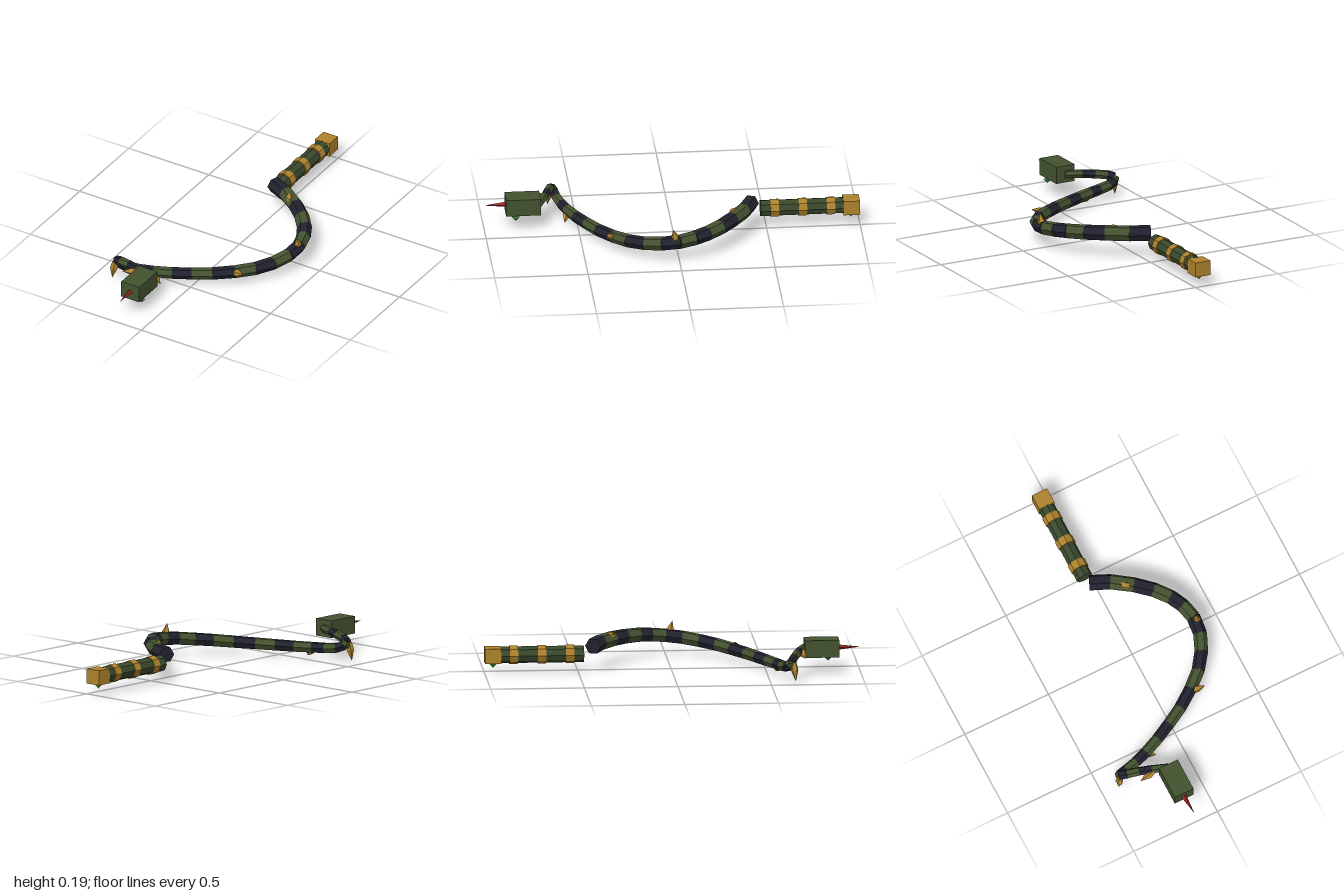
import * as THREE from 'three';

const material = (name, color) => {
  const m = new THREE.MeshStandardMaterial({ color });
  m.name = name;
  return m;
};

// Faceted normals for the low-poly look
function faceted(geometry) {
  const g = geometry.index ? geometry.toNonIndexed() : geometry;
  g.computeVertexNormals();
  return g;
}

export function createModel() {
  const group = new THREE.Group();
  const green = material('mossGreen', 0x435230);
  const navy = material('darkNavy', 0x22222f);
  const handleGreen = material('gripGreen', 0x39482c);
  const gold = material('oldGold', 0xae822c);
  const red = material('red', 0x9c2520);
  const gemGreen = material('gemGreen', 0x4a9c42);

  const add = (name, geometry, mat, x = 0, y = 0, z = 0) => {
    const mesh = new THREE.Mesh(faceted(geometry), mat);
    mesh.name = name;
    mesh.position.set(x, y, z);
    group.add(mesh);
    return mesh;
  };

  // Places a mesh so its local y axis runs from a to b, with local z kept level
  const alignBetween = (mesh, a, b) => {
    const dir = b.clone().sub(a).normalize();
    const up = Math.abs(dir.y) > 0.9 ? new THREE.Vector3(0, 0, 1) : new THREE.Vector3(0, 1, 0);
    const side = up.cross(dir).normalize();
    const across = dir.clone().cross(side);
    mesh.quaternion.setFromRotationMatrix(new THREE.Matrix4().makeBasis(across, dir, side));
  };

  // Handle with three bands, a square pommel and a gem below it
  const hx = -0.045, hy = 0.097;
  add('handle', new THREE.CylinderGeometry(0.045, 0.045, 0.445, 8).rotateX(Math.PI / 2), handleGreen, hx, hy, -0.6925);
  for (const z of [-0.545, -0.695, -0.845]) {
    add('handleBand', new THREE.CylinderGeometry(0.05, 0.05, 0.045, 8).rotateX(Math.PI / 2), gold, hx, hy, z);
  }
  add('pommel', new THREE.BoxGeometry(0.09, 0.08, 0.088), gold, hx, hy, -0.956);
  add('pommelGem', new THREE.OctahedronGeometry(0.022), gemGreen, hx, 0.05, -0.955);

  // Body: tapering six-sided links in alternating colours along a bent path
  const path = [
    [-0.04, 0.135, -0.42], [0.06, 0.136, -0.375], [0.165, 0.135, -0.303], [0.248, 0.131, -0.23],
    [0.31, 0.126, -0.155], [0.347, 0.119, -0.085], [0.368, 0.11, -0.005], [0.36, 0.099, 0.09],
    [0.322, 0.087, 0.18], [0.26, 0.077, 0.265], [0.178, 0.069, 0.337], [0.08, 0.063, 0.407],
    [-0.015, 0.06, 0.46], [-0.108, 0.058, 0.508], [-0.2, 0.059, 0.548], [-0.27, 0.061, 0.573],
    [-0.34, 0.068, 0.592], [-0.38, 0.084, 0.604], [-0.388, 0.103, 0.615], [-0.352, 0.117, 0.63],
    [-0.29, 0.125, 0.648], [-0.225, 0.13, 0.67], [-0.14, 0.132, 0.702],
  ].map((p) => new THREE.Vector3(...p));
  const radius = (i) => 0.044 - 0.022 * i / (path.length - 1);
  for (let i = 0; i < path.length - 1; i++) {
    const a = path[i], b = path[i + 1], mid = a.clone().lerp(b, 0.5);
    const link = add('bodyLink', new THREE.CylinderGeometry(radius(i + 1), radius(i), a.distanceTo(b) * 1.04, 6),
      i % 2 ? green : navy, mid.x, mid.y, mid.z);
    alignBetween(link, a, b);
  }

  // Thorns: base and tip of each
  const thorns = [
    [[0.1, 0.16, -0.33], [0.16, 0.158, -0.28]],
    [[0.375, 0.11, 0.015], [0.38, 0.187, 0.035]],
    [[0.178, 0.072, 0.35], [0.25, 0.09, 0.365]],
    [[-0.205, 0.052, 0.545], [-0.145, 0.007, 0.568]],
    [[-0.393, 0.1, 0.627], [-0.405, 0, 0.637]],
    [[-0.22, 0.128, 0.683], [-0.305, 0.104, 0.695]],
  ];
  for (const [base, tip] of thorns) {
    const a = new THREE.Vector3(...base), b = new THREE.Vector3(...tip);
    const h = a.distanceTo(b);
    const profile = [[0, 0], [0.015, 0], [0.021, h * 0.4], [0, h]].map((p) => new THREE.Vector2(...p));
    alignBetween(add('thorn', new THREE.LatheGeometry(profile, 5), gold, a.x, a.y, a.z), a, b);
  }

  // Block head with a pointed tongue and one gem at its lower edge
  add('head', new THREE.BoxGeometry(0.112, 0.093, 0.185), green, -0.14, 0.1325, 0.7925);
  const tongue = add('tongue', new THREE.ConeGeometry(0.016, 0.13, 4), red, -0.139, 0.132, 0.935);
  alignBetween(tongue, new THREE.Vector3(-0.142, 0.132, 0.87), new THREE.Vector3(-0.135, 0.132, 1));
  add('headGem', new THREE.OctahedronGeometry(0.022), gemGreen, -0.102, 0.073, 0.832);

  return group;
}
